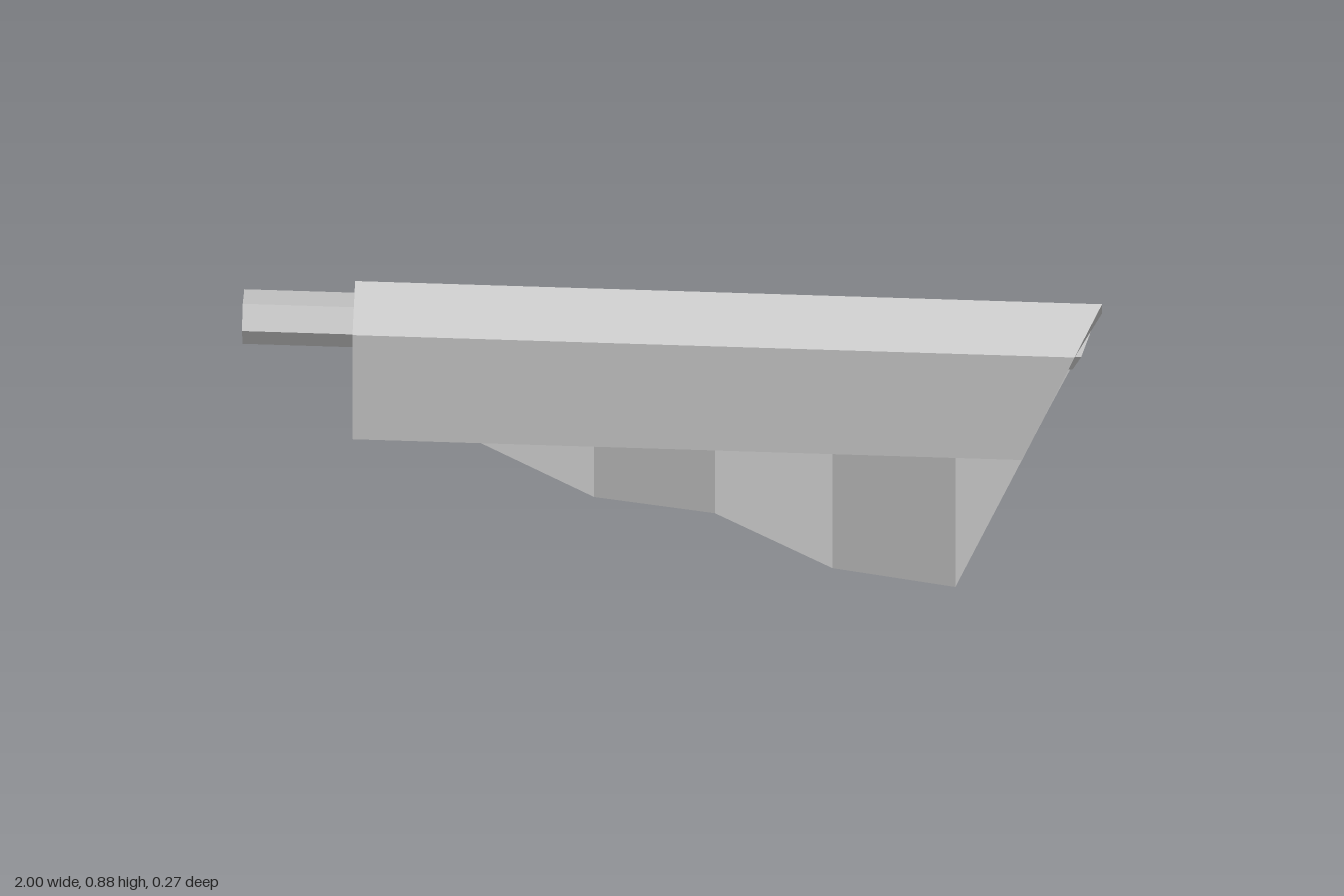
import * as THREE from 'three';

const grey = new THREE.MeshStandardMaterial({ color: 0xc0c0c0, flatShading: true });
grey.name = 'plain grey';

// Closed sheet: front and back layers share triangles (counter-clockwise on the front), with a rim around open edges
function sheet(name, front, back, tris) {
  const pos = [];
  const put = (...points) => points.forEach((p) => pos.push(...p));
  const edges = new Set();
  for (const [a, b, c] of tris) {
    put(front[a], front[b], front[c], back[a], back[c], back[b]);
    [[a, b], [b, c], [c, a]].forEach(([s, e]) => edges.add(`${s},${e}`));
  }
  for (const key of edges) {
    const [s, e] = key.split(',').map(Number);
    if (edges.has(`${e},${s}`)) continue;
    put(front[s], back[s], back[e], front[s], back[e], front[e]);
  }
  const geo = new THREE.BufferGeometry();
  geo.setAttribute('position', new THREE.Float32BufferAttribute(pos, 3));
  geo.computeVertexNormals();
  const mesh = new THREE.Mesh(geo, grey);
  mesh.name = name;
  return mesh;
}

// Fold over the pole and short front flap: [right end x, outer y, outer z, inner y, inner z]
function createFold() {
  const left = -0.74;
  const profile = [
    [0.82, 0.512, 0.135, 0.512, 0.109],
    [0.942, 0.8, 0.138, 0.79, 0.113],
    [1.0, 0.882, 0.032, 0.857, 0.032],
    [0.985, 0.808, -0.068, 0.794, -0.05],
  ];
  const outer = [], inner = [], tris = [];
  profile.forEach(([right, oy, oz, iy, iz], j) => {
    outer.push([left, oy, oz], [right, oy, oz]);
    inner.push([left, iy, iz], [right, iy, iz]);
    const k = 2 * j;
    if (j < 3) tris.push([k, k + 1, k + 3], [k, k + 3, k + 2]);
  });
  return sheet('foldedTopAndFrontFlap', outer, inner, tris);
}

// Long pleated back panel with a slanted free edge
function createPleats() {
  const xs = [-0.74, -0.46, -0.185, 0.09, 0.37, 0.65];
  const hem = [0.465, 0.36, 0.29, 0.185, 0.115, 0.003];
  const pleatZ = (i) => (i % 2 ? -0.11 : 0.002);
  const front = [
    ...xs.map((x, i) => [x, hem[i], pleatZ(i)]),           // 0-5 hem
    ...xs.map((x, i) => [x, 0.55, pleatZ(i)]),             // 6-11 pleat tops
    [0.87, 0.55, -0.021], [0.925, 0.67, -0.024],           // 12-13 free edge
    ...[-0.74, -0.46, 0.09, 0.65, 0.985].map((x) => [x, 0.797, -0.047]), // 14-18 upper edge
  ];
  const back = front.map(([x, y, z]) => [x, y, z - 0.025]);
  const tris = [];
  for (let i = 0; i < 5; i++) tris.push([i, i + 1, i + 7], [i, i + 7, i + 6]);
  tris.push([5, 12, 11]);
  // Each outward pleat gathers to a point on the upper edge
  for (let p = 0; p < 3; p++) {
    const m = 6 + 2 * p, t = 14 + p;
    tris.push([m, t + 1, t], [m, m + 1, t + 1], [m + 1, m + 2, t + 1]);
  }
  tris.push([12, 13, 17], [13, 18, 17]);
  return sheet('pleatedBackPanel', front, back, tris);
}

// Six-sided pole, its hidden end cut to the slant of the cloth
function createPole() {
  const geo = new THREE.CylinderGeometry(0.0635, 0.0635, 2, 6);
  geo.rotateZ(Math.PI / 2);
  geo.translate(0, 0.775, 0.032);
  const p = geo.attributes.position;
  for (let i = 0; i < p.count; i++) {
    if (p.getX(i) > 0) p.setX(i, 0.645 + 0.4 * p.getY(i));
  }
  geo.computeVertexNormals();
  const mesh = new THREE.Mesh(geo, grey);
  mesh.name = 'pole';
  return mesh;
}

export function createModel() {
  const group = new THREE.Group();
  group.name = 'clothOnPole';
  group.add(createFold(), createPleats(), createPole());
  return group;
}
